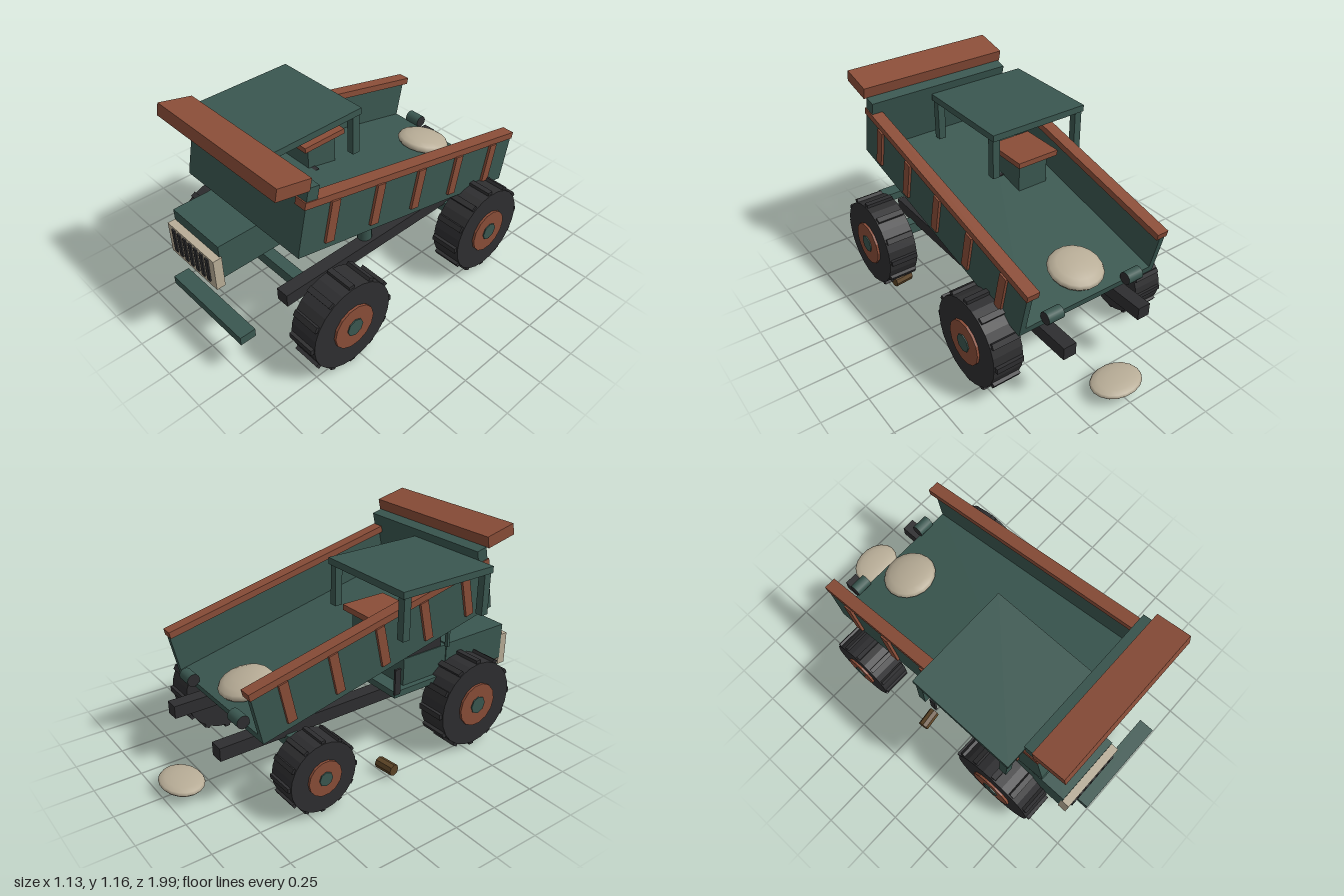
import * as THREE from 'three';

const mat = (name, color) => {
  const m = new THREE.MeshStandardMaterial({ color });
  m.name = name;
  return m;
};

export function createModel() {
  const root = new THREE.Group();
  root.name = 'dumpTruck';
  const teal = mat('teal paint', 0x3a5750);
  const rust = mat('rust', 0x8a4d38);
  const dark = mat('dark rubber', 0x2e2e30);
  const cream = mat('cream', 0xb8ad97);
  const brown = mat('brown', 0x5c4426);

  const add = (parent, name, geometry, material, x = 0, y = 0, z = 0) => {
    const mesh = new THREE.Mesh(geometry, material);
    mesh.name = name;
    mesh.position.set(x, y, z);
    parent.add(mesh);
    return mesh;
  };
  // Box given by its ranges on each axis
  const box = (parent, name, material, [x0, x1], [y0, y1], [z0, z1]) =>
    add(parent, name, new THREE.BoxGeometry(x1 - x0, y1 - y0, z1 - z0), material,
      (x0 + x1) / 2, (y0 + y1) / 2, (z0 + z1) / 2);
  // Cylinder lying along x, flat faceted
  const barrel = (r, length, sides) => {
    const g = new THREE.CylinderGeometry(r, r, length, sides).rotateZ(Math.PI / 2).toNonIndexed();
    g.computeVertexNormals();
    return g;
  };

  // Wheels; the hub faces outwards
  const wheel = (name, side, y, z, scale) => {
    const g = new THREE.Group();
    g.name = name;
    add(g, 'tire', barrel(0.237, 0.165, 24), dark);
    for (let i = 0; i < 12; i++) {
      const a = (i / 12) * Math.PI * 2;
      const lug = add(g, 'treadLug', new THREE.BoxGeometry(0.152, 0.03, 0.03), dark,
        0, Math.cos(a) * 0.238, Math.sin(a) * 0.238);
      lug.rotation.x = a;
    }
    add(g, 'rim', barrel(0.12, 0.03, 14), rust, side * 0.08);
    add(g, 'hubCap', barrel(0.048, 0.03, 8), teal, side * 0.086);
    g.position.set(side * 0.466, y, z);
    g.scale.set(1, scale, scale);
    root.add(g);
  };
  wheel('frontLeftWheel', 1, 0.255, 0.556, 1);
  wheel('frontRightWheel', -1, 0.255, 0.556, 1);
  wheel('rearLeftWheel', 1, 0.255, -0.42, 1);
  wheel('rearRightWheel', -1, 0.197, -0.425, 0.775);

  // Chassis
  for (const s of [-1, 1])
    add(root, 'chassisRail', new THREE.BoxGeometry(0.073, 0.07, 1.53), dark, s * 0.232, 0.318, -0.045);
  for (const z of [0.556, -0.42])
    add(root, 'axle', new THREE.BoxGeometry(0.78, 0.065, 0.065), teal, 0, 0.262, z);

  // Loose bumper
  add(root, 'bumper', new THREE.BoxGeometry(0.55, 0.046, 0.085), teal, -0.015, 0.243, 0.95);

  // Hood and grille
  box(root, 'hood', teal, [-0.395, -0.02], [0.37, 0.572], [0.465, 0.88]);
  box(root, 'grille', cream, [-0.395, -0.01], [0.33, 0.51], [0.873, 0.922]);
  for (let i = 0; i < 7; i++)
    add(root, 'grilleSlot', new THREE.BoxGeometry(0.024, 0.138, 0.009), dark, -0.342 + i * 0.0465, 0.429, 0.925);

  // Cab under the bed
  box(root, 'cabFloor', teal, [-0.42, 0], [0.38, 0.415], [0.1, 0.465]);
  box(root, 'cabTub', teal, [-0.39, -0.03], [0.415, 0.565], [0.18, 0.465]);
  box(root, 'dashboard', dark, [-0.385, -0.085], [0.56, 0.64], [0.2, 0.43]);
  for (const x of [-0.4, -0.07])
    box(root, 'windshieldPost', teal, [x - 0.01, x + 0.01], [0.56, 0.655], [0.455, 0.47]);
  box(root, 'lever', dark, [-0.472, -0.46], [0.435, 0.575], [0.055, 0.09]);

  // Seat standing inside the bed
  box(root, 'seatBase', teal, [-0.3, -0.12], [0.56, 0.77], [0.06, 0.24]);
  box(root, 'seat', rust, [-0.34, -0.09], [0.77, 0.8], [0.02, 0.28]);

  // Canopy with four short posts
  box(root, 'canopyRoof', teal, [-0.525, 0.058], [0.967, 1.003], [0.038, 0.62]);
  for (const x of [-0.499, 0.032])
    for (const z of [0.07, 0.59])
      add(root, 'canopyPost', new THREE.BoxGeometry(0.042, 0.225, 0.042), teal, x, 0.858, z);

  // Hydraulic lift
  add(root, 'liftCylinder', new THREE.CylinderGeometry(0.038, 0.038, 0.13, 16), teal, 0.214, 0.365, 0.165);
  add(root, 'liftRod', new THREE.CylinderGeometry(0.026, 0.026, 0.18, 16), rust, 0.214, 0.505, 0.16);

  // Tilted dump bed, measured from its lower rear edge
  const bed = new THREE.Group();
  bed.name = 'dumpBed';
  bed.position.set(0, 0.4, -0.665);
  bed.rotation.x = -0.22;
  root.add(bed);
  box(bed, 'bedFloor', teal, [-0.385, 0.385], [0, 0.04], [0, 1.45]);
  box(bed, 'bedFront', teal, [-0.416, 0.416], [0.03, 0.352], [1.39, 1.452]);
  box(bed, 'bedLip', rust, [-0.43, 0.43], [0.347, 0.41], [1.455, 1.637]);
  for (const s of [-1, 1]) {
    add(bed, 'bedSide', new THREE.BoxGeometry(0.032, 0.255, 1.45), teal, s * 0.4, 0.1275, 0.725);
    add(bed, 'bedRail', new THREE.BoxGeometry(0.066, 0.036, 1.465), rust, s * 0.388, 0.267, 0.727);
    for (let i = 0; i < 5; i++)
      add(bed, 'sideRib', new THREE.BoxGeometry(0.02, 0.215, 0.05), rust, s * 0.42, 0.145, 0.165 + i * 0.28);
  }

  // Rear hinges
  for (const s of [-1, 1])
    add(root, 'hinge', new THREE.CylinderGeometry(0.034, 0.034, 0.09, 14).rotateZ(Math.PI / 2),
      [teal, dark, dark], s * 0.245, 0.462, -0.692);

  // Flat stones, one in the bed and one behind
  const stone = (x, y, z, rx, ry, rz) => {
    const m = add(root, 'stone', new THREE.SphereGeometry(1, 18, 8), cream, x, y, z);
    m.scale.set(rx, ry, rz);
    return m;
  };
  stone(-0.03, 0.5, -0.523, 0.145, 0.045, 0.143).rotation.x = -0.22;
  stone(0, 0.06, -0.893, 0.141, 0.029, 0.108);

  // Loose brown pegs on the ground
  for (const [x, z] of [[-0.48, 0.012], [0.44, 0.415]])
    add(root, 'peg', barrel(0.031, 0.105, 8), brown, x, 0.045, z).rotation.y = 0.12;

  return root;
}
